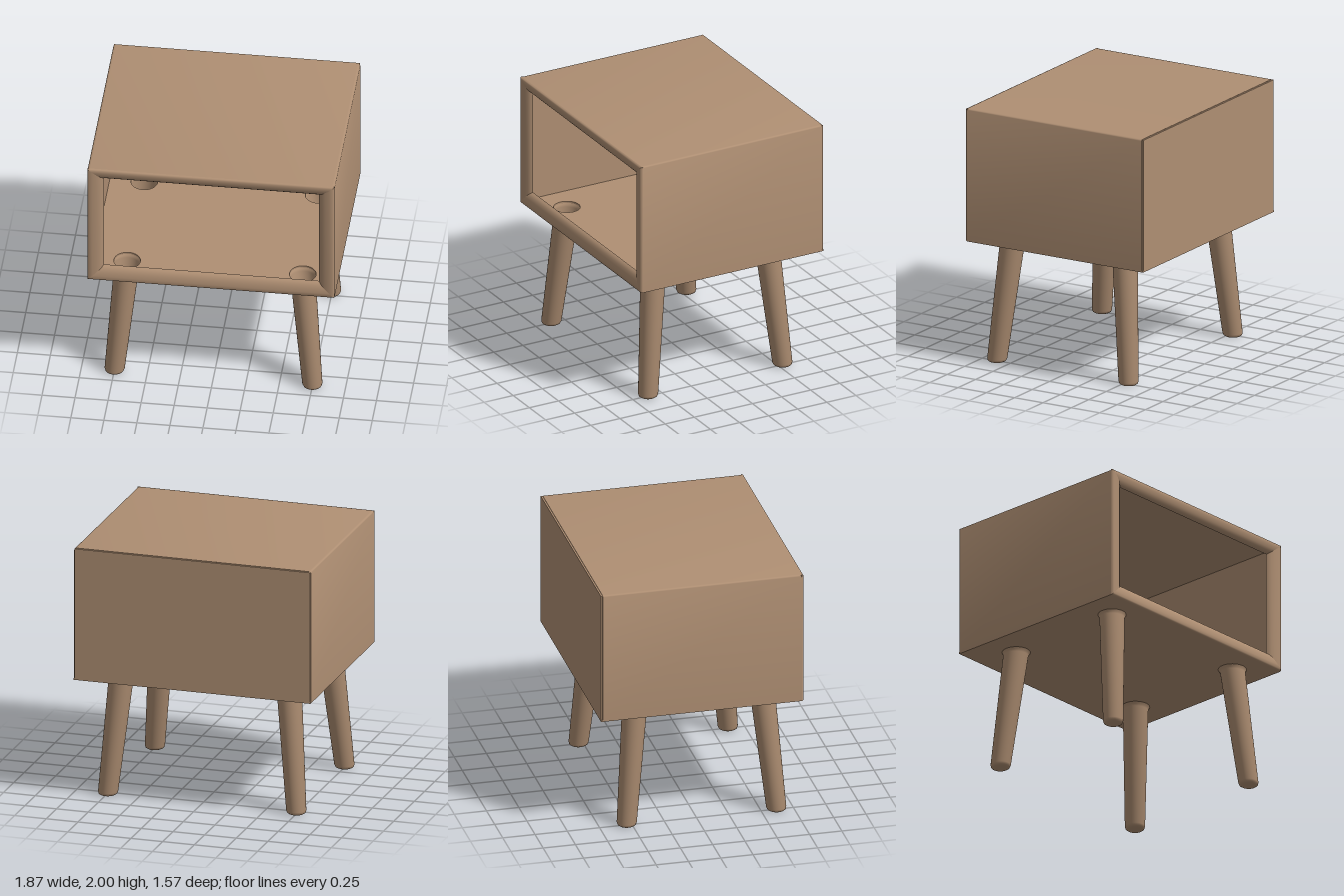
import * as THREE from 'three';
import { toCreasedNormals } from 'three/addons/utils/BufferGeometryUtils.js';

const W = 0.935, D = 0.785, BOTTOM = 0.96, TOP = 2, T = 0.014, FRONT = 0.77;

// Leg sockets: top centre and how far the foot splays outward
const LEGS = [];
for (const s of [-1, 1]) {
  LEGS.push({ name: 'frontLeg', x: s * 0.665, z: 0.53, dx: s * 0.085, dz: 0.09 });
  LEGS.push({ name: 'backLeg', x: s * 0.66, z: -0.455, dx: s * 0.085, dz: -0.085 });
}

export function createModel() {
  const group = new THREE.Group();
  const wood = new THREE.MeshStandardMaterial({ color: 0xaf8f73, side: THREE.DoubleSide });
  wood.name = 'wood';

  const add = (name, geometry, x = 0, y = 0, z = 0) => {
    const mesh = new THREE.Mesh(geometry, wood);
    mesh.name = name;
    mesh.position.set(x, y, z);
    group.add(mesh);
    return mesh;
  };

  // Top and side walls: one thin arch with softly rounded upper corners
  const r = 0.02;
  const arch = new THREE.Shape();
  arch.moveTo(-W, BOTTOM + T);
  arch.lineTo(-W + T, BOTTOM + T);
  arch.lineTo(-W + T, TOP - T);
  arch.lineTo(W - T, TOP - T);
  arch.lineTo(W - T, BOTTOM + T);
  arch.lineTo(W, BOTTOM + T);
  arch.lineTo(W, TOP - r);
  arch.quadraticCurveTo(W, TOP, W - r, TOP);
  arch.lineTo(-W + r, TOP);
  arch.quadraticCurveTo(-W, TOP, -W, TOP - r);
  const shell = new THREE.ExtrudeGeometry(arch, { depth: FRONT + D - T, bevelEnabled: false, curveSegments: 4 });
  add('topAndSides', toCreasedNormals(shell, 0.6), 0, 0, -D + T);

  // Back panel
  add('backPanel', new THREE.BoxGeometry(2 * W - 0.01, TOP - BOTTOM - 0.008, T), 0, (TOP + BOTTOM) / 2, -D + T / 2);

  // Floor with round openings over the hollow legs
  const floor = new THREE.Shape();
  floor.moveTo(-W, -FRONT);
  floor.lineTo(W, -FRONT);
  floor.lineTo(W, D);
  floor.lineTo(-W, D);
  for (const leg of LEGS) {
    const hole = new THREE.Path();
    hole.absarc(leg.x, -leg.z, 0.1, 0, Math.PI * 2, true);
    floor.holes.push(hole);
  }
  const floorGeo = new THREE.ExtrudeGeometry(floor, { depth: T, bevelEnabled: false, curveSegments: 24 });
  floorGeo.rotateX(-Math.PI / 2);
  add('floor', floorGeo, 0, BOTTOM, 0);

  // Front frame: rounded moulding, profile of [inset, z], mitred at the corners
  const profile = [
    [0, 0.77], [0.004, 0.781], [0.014, 0.786], [0.04, 0.785], [0.07, 0.779],
    [0.095, 0.769], [0.112, 0.755], [0.12, 0.738], [0.1, 0.735], [0.014, 0.755], [0, 0.77],
  ];
  const corner = (k, [inset, z]) => {
    const right = k % 4 === 1 || k % 4 === 2, up = k % 4 >= 2;
    const rise = inset * (up ? 0.82 : 1);
    return [(right ? 1 : -1) * (W - inset), up ? TOP - rise : BOTTOM + rise, z];
  };
  ['frameBottom', 'frameRight', 'frameTop', 'frameLeft'].forEach((name, k) => {
    const pos = [];
    for (let j = 0; j < profile.length - 1; j++) {
      const a = corner(k, profile[j]), b = corner(k + 1, profile[j]);
      const c = corner(k + 1, profile[j + 1]), d = corner(k, profile[j + 1]);
      pos.push(...a, ...b, ...c, ...a, ...c, ...d);
    }
    const geo = new THREE.BufferGeometry();
    geo.setAttribute('position', new THREE.Float32BufferAttribute(pos, 3));
    add(name, toCreasedNormals(geo, 0.9));
  });

  // Tapered legs: lathed, then sheared so the feet splay outward
  const legProfile = [
    [0, 0], [0.058, 0], [0.07, 0.008], [0.076, 0.025], [0.095, 0.93], [0.098, 0.945], [0.108, 0.962],
  ].map(([x, y]) => new THREE.Vector2(x, y));
  for (const leg of LEGS) {
    const geo = new THREE.LatheGeometry(legProfile, 32);
    const p = geo.attributes.position;
    for (let i = 0; i < p.count; i++) {
      const t = 1 - p.getY(i) / BOTTOM;
      p.setX(i, p.getX(i) + leg.dx * t);
      p.setZ(i, p.getZ(i) + leg.dz * t);
    }
    add(leg.name, toCreasedNormals(geo, 0.8), leg.x, 0, leg.z);
  }

  return group;
}
